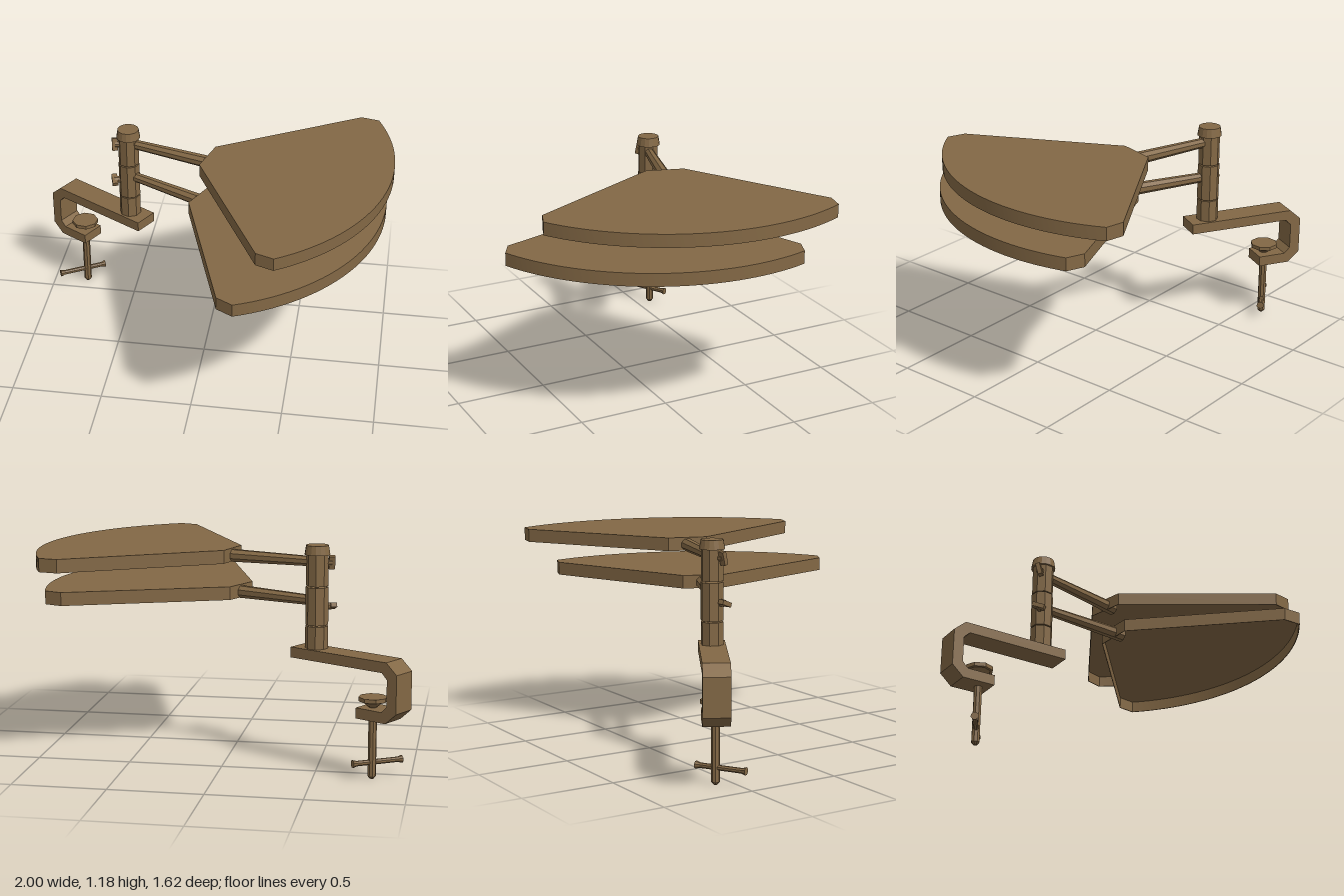
import * as THREE from 'three';
import { toCreasedNormals } from 'three/addons/utils/BufferGeometryUtils.js';

const bronze = new THREE.MeshStandardMaterial({ color: 0x836845 });
bronze.name = 'bronze brown';
const deg = Math.PI / 180;

function add(parent, name, geometry, x = 0, y = 0, z = 0) {
  const mesh = new THREE.Mesh(geometry, bronze);
  mesh.name = name;
  mesh.position.set(x, y, z);
  parent.add(mesh);
  return mesh;
}

// Faceted cylinder standing between two heights
function column(parent, name, rTop, rBottom, y0, y1, sides, x = 0) {
  const g = toCreasedNormals(new THREE.CylinderGeometry(rTop, rBottom, y1 - y0, sides), 0.3);
  return add(parent, name, g, x, (y0 + y1) / 2, 0);
}

// Rod along local x
function rod(parent, name, r0, r1, x0, x1, y, sides) {
  const g = new THREE.CylinderGeometry(r1, r0, x1 - x0, sides);
  g.rotateY(Math.PI / sides);
  g.rotateZ(-Math.PI / 2);
  return add(parent, name, toCreasedNormals(g, 0.3), (x0 + x1) / 2, y, 0);
}

// Fan outline with clipped corners and a curved outer edge, shrunk about its middle
function trayOutline(scale) {
  const cx = 0.37, R = 1.132, end = Math.atan2(0.764, 1.205 - cx), middle = 1.0;
  const points = [[0.488, -0.105], [1.103, -0.757]];
  const steps = 32;
  for (let i = 0; i <= steps; i++) {
    const a = -end + (2 * end * i) / steps;
    points.push([cx + R * Math.cos(a), R * Math.sin(a)]);
  }
  points.push([1.103, 0.757], [0.488, 0.105]);
  return points.map(([x, y]) => new THREE.Vector2(middle + (x - middle) * scale, y * scale));
}

// Horizontal slab hanging down from y = 0
function slab(shape, depth) {
  const g = new THREE.ExtrudeGeometry(shape, { depth, bevelEnabled: false });
  g.rotateX(Math.PI / 2);
  return toCreasedNormals(g, 0.2);
}

// Tray hollow from below, with its swivel arm, turning about the post
function swivelTray(name, angle, top) {
  const group = new THREE.Group();
  group.name = name;
  group.rotation.y = -angle * deg;
  const plate = 0.005;
  add(group, 'trayPlate', slab(new THREE.Shape(trayOutline(1)), plate), 0, top, 0);
  const rim = new THREE.Shape(trayOutline(1));
  rim.holes.push(new THREE.Path(trayOutline(0.993)));
  add(group, 'trayRim', slab(rim, 0.071 - plate), 0, top - plate, 0);
  rod(group, 'arm', 0.027, 0.036, 0.03, 0.55, top - 0.04, 8);
  return group;
}

// Wing screw that locks an arm to the post
function wingScrew(name, angle, y, reach, tilt) {
  const group = new THREE.Group();
  group.name = name;
  group.rotation.y = -angle * deg;
  rod(group, 'screwShank', 0.02, 0.018, 0.04, reach, y, 8);
  const wing = add(group, 'screwWing', new THREE.BoxGeometry(0.032, 0.07, 0.024), reach, y, 0);
  wing.rotation.x = tilt * deg;
  return group;
}

// C-shaped table clamp with its tightening screw
function tableClamp() {
  const group = new THREE.Group();
  group.name = 'tableClamp';
  group.rotation.y = -30 * deg;
  const outline = [
    [0.116, 0.64], [-0.486, 0.64], [-0.55, 0.583], [-0.55, 0.382], [-0.486, 0.324], [-0.305, 0.324],
    [-0.305, 0.38], [-0.46, 0.38], [-0.492, 0.412], [-0.492, 0.552], [-0.46, 0.584], [0.116, 0.584],
  ].map(([x, y]) => new THREE.Vector2(x, y));
  const width = 0.139;
  const g = new THREE.ExtrudeGeometry(new THREE.Shape(outline), { depth: width, bevelEnabled: false });
  add(group, 'clampFrame', g, 0, 0, -width / 2);

  const sx = -0.363;
  column(group, 'clampScrew', 0.022, 0.022, 0.014, 0.4, 8, sx);
  column(group, 'screwTip', 0.022, 0.01, 0, 0.014, 8, sx);
  column(group, 'padCone', 0.062, 0.025, 0.383, 0.414, 8, sx);
  column(group, 'clampPad', 0.076, 0.076, 0.413, 0.434, 8, sx);

  const handle = new THREE.Group();
  handle.name = 'screwHandle';
  handle.position.set(sx - 0.015, 0, 0.026);
  handle.rotation.y = 60 * deg;
  rod(handle, 'handleBar', 0.014, 0.014, -0.13, 0.13, 0.088, 8);
  for (const s of [-1, 1]) {
    rod(handle, 'handleKnob', s < 0 ? 0.021 : 0.014, s < 0 ? 0.014 : 0.021, s * 0.128 - 0.012, s * 0.128 + 0.012, 0.088, 8);
  }
  group.add(handle);
  return group;
}

export function createModel() {
  const model = new THREE.Group();
  model.name = 'swivelTrayStand';
  const stand = new THREE.Group();
  stand.name = 'stand';
  stand.position.set(-0.487, 0, -0.404);
  model.add(stand);

  stand.add(tableClamp());

  // Post sections separated by fine gaps
  column(stand, 'postBase', 0.06, 0.06, 0.64, 0.759, 8);
  column(stand, 'lowerPivot', 0.06, 0.06, 0.765, 0.963, 8);
  column(stand, 'upperPivot', 0.058, 0.058, 0.969, 1.135, 8);
  column(stand, 'postCap', 0.059, 0.067, 1.132, 1.181, 16);

  stand.add(swivelTray('upperTray', 16.7, 1.134));
  const lowerTray = swivelTray('lowerTray', 25.7, 0.928);
  lowerTray.position.x = -0.007;
  stand.add(lowerTray);
  stand.add(wingScrew('upperWingScrew', 165, 1.09, 0.076, 15));
  stand.add(wingScrew('lowerWingScrew', 162, 0.86, 0.084, 70));
  return model;
}
